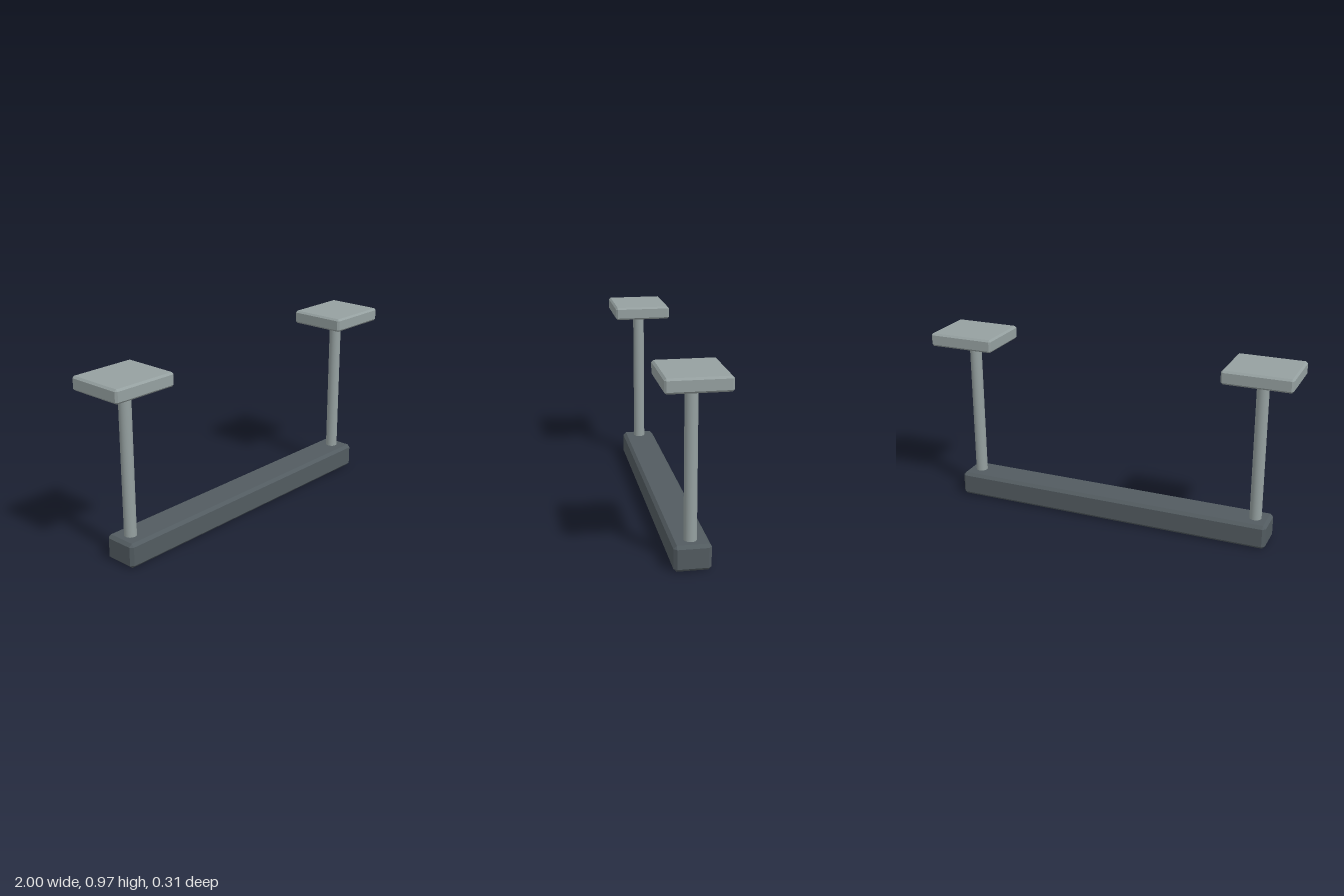
import * as THREE from 'three';
import { ConvexGeometry } from 'three/addons/geometries/ConvexGeometry.js';

// Box with a flat chamfer on every edge and corner
function chamferBox(w, h, d, c) {
  const half = [w / 2, h / 2, d / 2];
  const points = [];
  for (let axis = 0; axis < 3; axis++) {
    for (const sx of [-1, 1]) for (const sy of [-1, 1]) for (const sz of [-1, 1]) {
      const p = [sx, sy, sz].map((s, i) => s * (half[i] - (i === axis ? 0 : c)));
      points.push(new THREE.Vector3(...p));
    }
  }
  return new ConvexGeometry(points);
}

export function createModel() {
  const model = new THREE.Group();
  const metal = new THREE.MeshStandardMaterial({ color: 0x95a0a0 });
  const dark = new THREE.MeshStandardMaterial({ color: 0x525b60 });

  const add = (name, geometry, material, x, y) => {
    const mesh = new THREE.Mesh(geometry, material);
    mesh.name = name;
    mesh.position.set(x, y, 0);
    model.add(mesh);
  };

  // Long lower beam
  add('beam', chamferBox(1.786, 0.133, 0.184, 0.016), dark, 0, 0.0665);

  // Post and mounting plate at each end
  const post = new THREE.CylinderGeometry(0.032, 0.032, 0.82, 24);
  const plate = chamferBox(0.364, 0.072, 0.314, 0.01);
  for (const [side, s] of [['left', 1], ['right', -1]]) {
    add(`${side}Post`, post, metal, s * 0.816, 0.515);
    add(`${side}Plate`, plate, metal, s * 0.818, 0.936);
  }
  return model;
}
